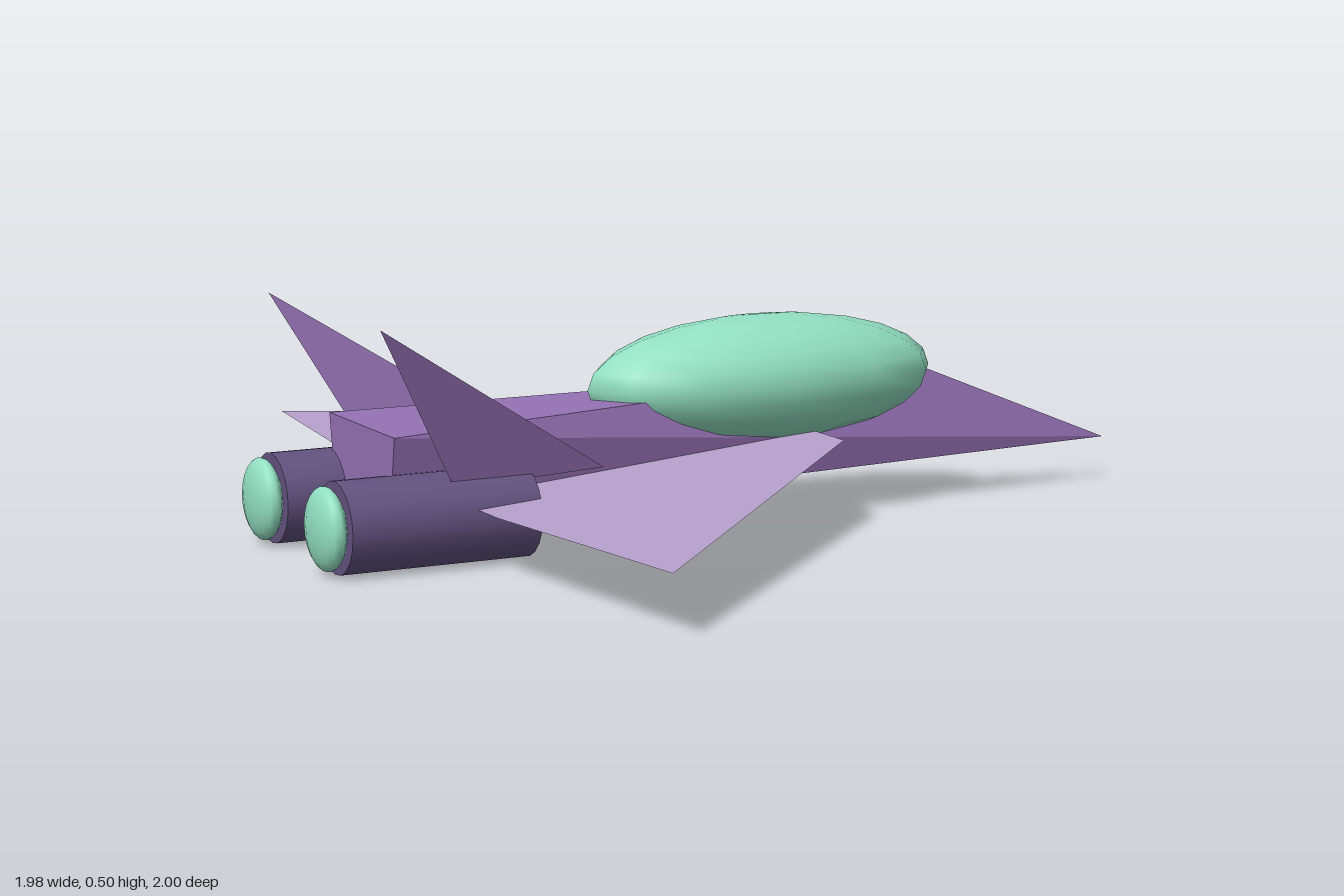
import * as THREE from 'three';
import { ConvexGeometry } from 'three/addons/geometries/ConvexGeometry.js';

const paint = (name, color, side = THREE.FrontSide) => {
  const m = new THREE.MeshStandardMaterial({ color, side });
  m.name = name;
  return m;
};

// Flat sheet: a fan of triangles over a convex outline of [x, y, z] corners
function sheet(corners) {
  const g = new THREE.BufferGeometry();
  const pos = [];
  for (let i = 1; i < corners.length - 1; i++) {
    pos.push(...corners[0], ...corners[i], ...corners[i + 1]);
  }
  g.setAttribute('position', new THREE.Float32BufferAttribute(pos, 3));
  g.computeVertexNormals();
  return g;
}

export function createModel() {
  const group = new THREE.Group();
  const hullPurple = paint('hull purple', 0x9572b4);
  const finPurple = paint('fin purple', 0x9572b4, THREE.DoubleSide);
  const wingLilac = paint('wing lilac', 0xb6a0cc, THREE.DoubleSide);
  const engineViolet = paint('engine violet', 0x62527f);
  const mint = paint('mint', 0x92dfc3);

  const add = (name, geometry, material, x = 0, y = 0, z = 0) => {
    const mesh = new THREE.Mesh(geometry, material);
    mesh.name = name;
    mesh.position.set(x, y, z);
    group.add(mesh);
    return mesh;
  };

  // Wedge fuselage: square tail, single ridge point and pointed nose
  const hull = [new THREE.Vector3(0.5, 0.3, 0), new THREE.Vector3(0.99, 0.1, 0)];
  for (const s of [1, -1]) {
    hull.push(new THREE.Vector3(-0.81, 0.27, s * 0.175), new THREE.Vector3(-0.81, 0.09, s * 0.145));
  }
  add('fuselage', new ConvexGeometry(hull), hullPurple);

  // Canopy
  add('canopy', new THREE.SphereGeometry(1, 12, 12).scale(0.415, 0.137, 0.17), mint, 0.115, 0.301, 0);

  for (const s of [1, -1]) {
    const side = s > 0 ? 'right' : 'left';
    // Flat delta wing, pitched slightly nose-up; wound to face upwards
    const outline = [[0.2, 0], [-0.67, 0], [-0.67, 0.36], [-0.605, 1], [0.2, 0.21]];
    const wing = outline.map(([x, z]) => [x, 0.13 + 0.07 * (x + 0.64), s * z]);
    add(side + 'Wing', sheet(s > 0 ? wing : wing.reverse()), wingLilac);

    // Swept tail fin leaning outwards
    const fin = [[-0.89, 0.51, s * 0.305], [-0.7, 0.165, s * 0.22], [-0.37, 0.182, s * 0.222]];
    add(side + 'Fin', sheet(s > 0 ? fin : fin.reverse()), finPurple);

    // Engine with glowing exhaust dome
    const engine = new THREE.CylinderGeometry(0.095, 0.095, 0.41, 20).rotateZ(Math.PI / 2);
    add(side + 'Engine', engine, engineViolet, -0.735, 0.1, s * 0.177);
    const exhaust = new THREE.SphereGeometry(1, 16, 12).scale(0.032, 0.086, 0.086);
    add(side + 'Exhaust', exhaust, mint, -0.96, 0.1, s * 0.177);
  }

  return group;
}
